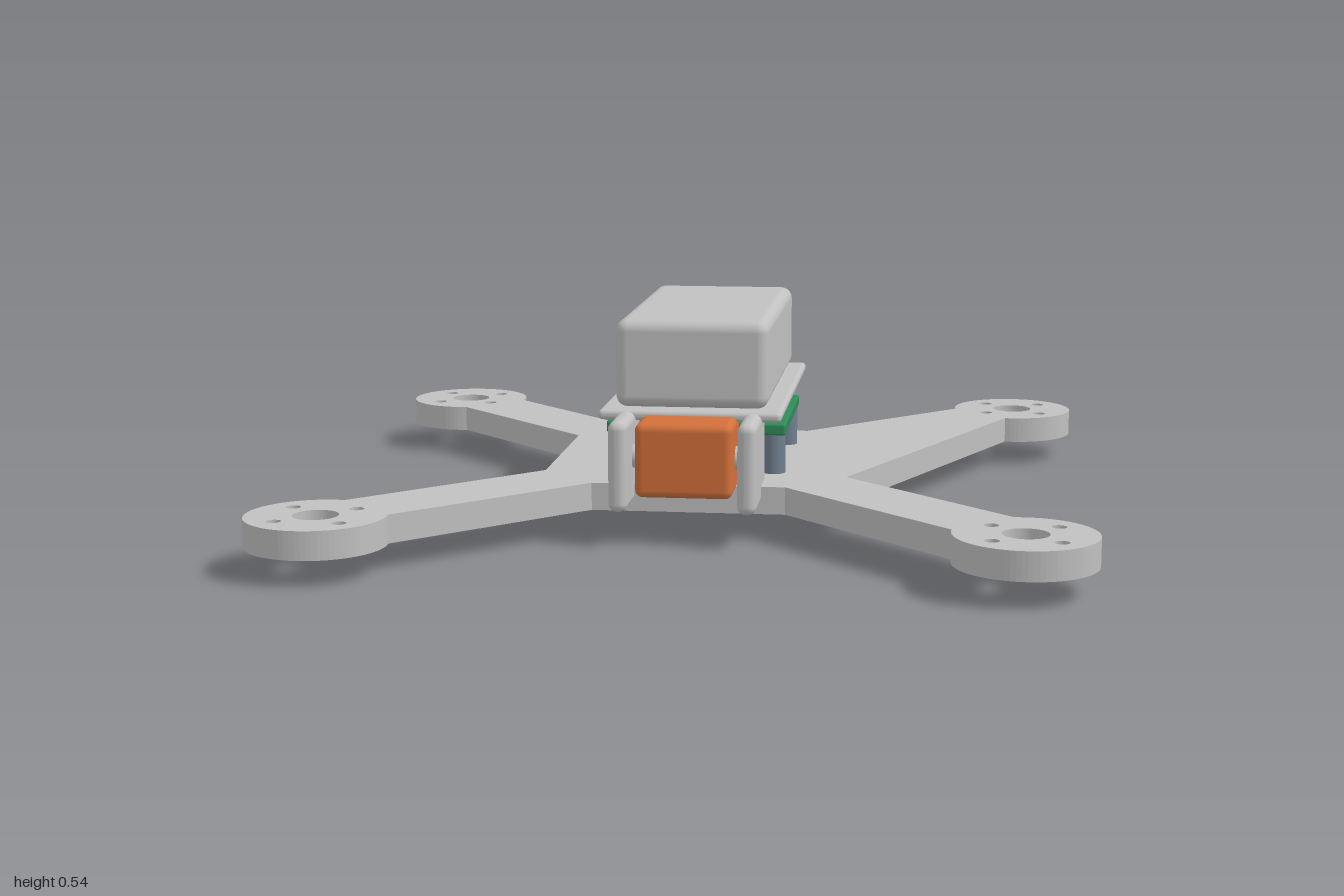
import * as THREE from 'three';
import { RoundedBoxGeometry } from 'three/addons/geometries/RoundedBoxGeometry.js';

const material = (name, color) => {
  const m = new THREE.MeshStandardMaterial({ color });
  m.name = name;
  return m;
};

export function createModel() {
  const grey = material('light grey', 0xc0c0c0);
  const green = material('board green', 0x2e8b57);
  const orange = material('camera orange', 0xd2703a);
  const steel = material('standoff steel', 0x708090);

  const model = new THREE.Group();
  model.name = 'quadcopter';

  const add = (name, geometry, mat, x = 0, y = 0, z = 0) => {
    const mesh = new THREE.Mesh(geometry, mat);
    mesh.name = name;
    mesh.position.set(x, y, z);
    model.add(mesh);
    return mesh;
  };

  // Box given by its limits, with optional rounded edges
  const box = (name, mat, [x0, x1], [y0, y1], [z0, z1], r = 0) => {
    const size = [x1 - x0, y1 - y0, z1 - z0];
    const geometry = r ? new RoundedBoxGeometry(...size, 3, r) : new THREE.BoxGeometry(...size);
    return add(name, geometry, mat, (x0 + x1) / 2, (y0 + y1) / 2, (z0 + z1) / 2);
  };

  // Frame: octagonal centre and four diagonal arms with round motor mounts
  const motor = 0.83, mountR = 0.17, halfArm = 0.103;
  const flare = Math.PI - Math.asin(halfArm / mountR);
  const outline = new THREE.Shape();
  const hole = (x, y, r) => outline.holes.push(new THREE.Path().absarc(x, y, r, 0, Math.PI * 2, true));
  for (let i = 0; i < 4; i++) {
    const a = Math.PI / 4 + i * Math.PI / 2;
    const c = Math.cos(i * Math.PI / 2), s = Math.sin(i * Math.PI / 2);
    const turn = (x, y) => [x * c - y * s, x * s + y * c];
    const [mx, my] = turn(motor, motor);
    const root = turn(0.39, 0.245);
    if (i === 0) outline.moveTo(...root);
    else outline.lineTo(...root);
    outline.absarc(mx, my, mountR, a - flare, a + flare, false);
    outline.lineTo(...turn(0.245, 0.39));
    hole(mx, my, 0.055);
    for (const dx of [-0.078, 0.078])
      for (const dy of [-0.078, 0.078]) hole(mx + dx, my + dy, 0.018);
    hole(...turn(0.2, 0.2), 0.016);
  }
  hole(0, -0.27, 0.055);
  const frame = new THREE.ExtrudeGeometry(outline, { depth: 0.07, bevelEnabled: false, curveSegments: 32 });
  frame.rotateX(-Math.PI / 2);
  add('frame', frame, grey, 0, 0.066, 0);

  // Underside sensor
  box('sensorMount', grey, [-0.14, 0.14], [0.044, 0.067], [-0.14, 0.14]);
  box('sensorBoard', green, [-0.09, 0.09], [0, 0.045], [-0.09, 0.09], 0.008);

  // Electronics stack on four standoffs
  box('speedController', grey, [-0.17, 0.17], [0.135, 0.188], [-0.17, 0.17], 0.008);
  box('controlBoard', green, [-0.232, 0.232], [0.237, 0.267], [-0.232, 0.232], 0.006);
  for (const x of [-0.2, 0.2])
    for (const z of [-0.2, 0.2])
      add('standoff', new THREE.CylinderGeometry(0.03, 0.03, 0.105, 20), steel, x, 0.186, z);

  // Top plate and battery
  box('topPlate', grey, [-0.232, 0.232], [0.293, 0.318], [-0.492, 0.364], 0.011);
  box('battery', grey, [-0.195, 0.195], [0.318, 0.542], [-0.455, 0.325], 0.03);

  // Front camera held between two side plates
  box('camera', orange, [-0.122, 0.122], [0.12, 0.307], [0.31, 0.49], 0.02);
  for (const s of [-1, 1])
    box('cameraBracket', grey, [s * 0.16 - 0.024, s * 0.16 + 0.024], [0.088, 0.316], [0.27, 0.524], 0.022);
  const pivot = add('cameraPivot', new THREE.CylinderGeometry(0.03, 0.03, 0.3, 20), grey, 0, 0.21, 0.4);
  pivot.rotation.z = Math.PI / 2;

  // Rear transmitter and antenna
  box('transmitterTray', grey, [-0.167, 0.167], [0.158, 0.19], [-0.6, -0.42], 0.012);
  box('transmitter', green, [-0.132, 0.132], [0.193, 0.26], [-0.576, -0.44], 0.014);
  add('antenna', new THREE.CylinderGeometry(0.032, 0.032, 0.315, 24), grey, 0, 0.292, -0.666);

  return model;
}
